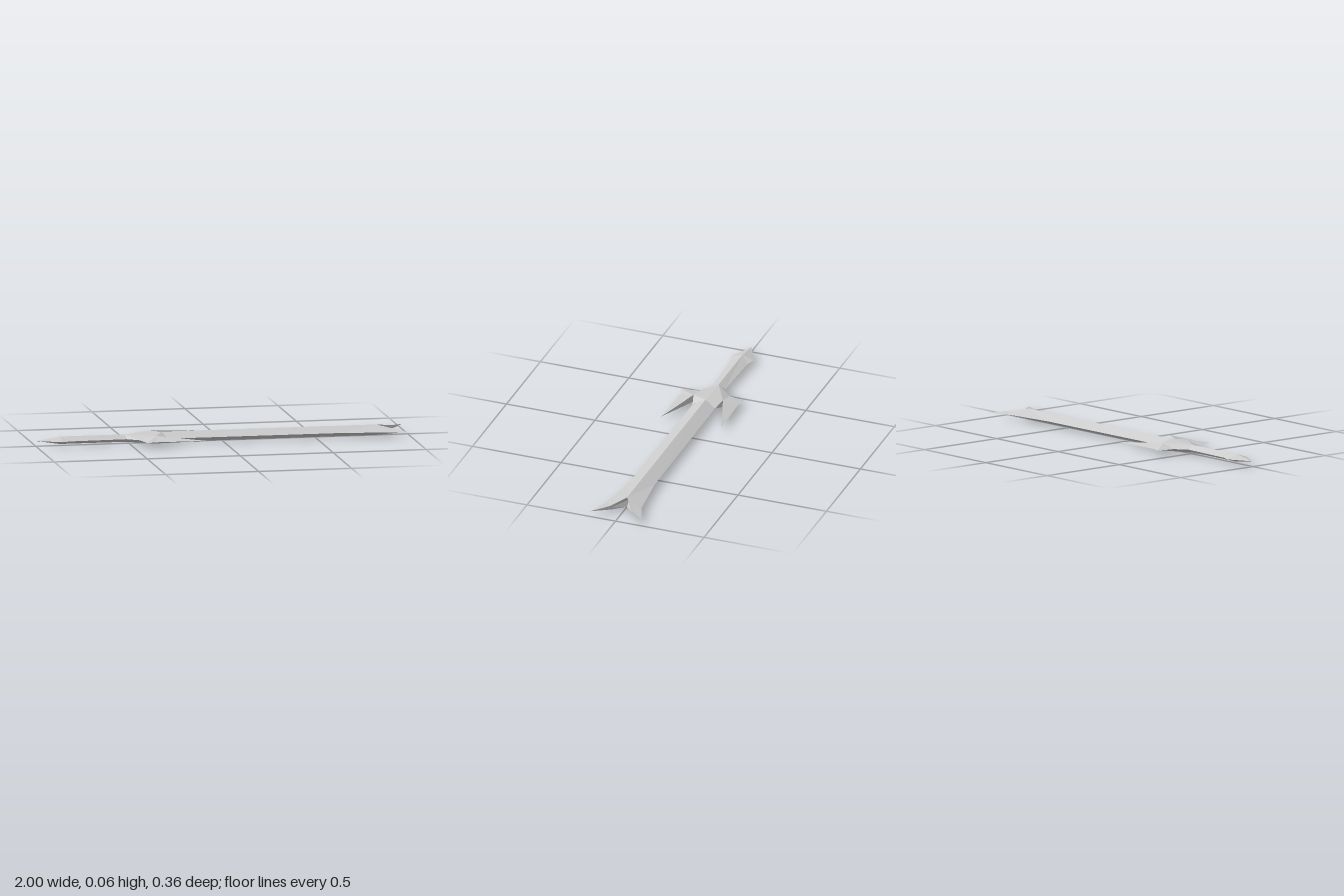
import * as THREE from 'three';

const steel = new THREE.MeshStandardMaterial({ color: 0xcccccc, flatShading: true });
steel.name = 'steel';

// Builds a faceted part from one quadrant of faces, mirrored over its
// horizontal mid plane (y = MID) and its long axis (z = 0).
const MID = 0.03;
function part(name, pts, skins, walls = []) {
  const pos = [];
  const add = (keys, axis) => {
    const v = keys.split(' ').map((k) => new THREE.Vector3(...pts[k]));
    const n = v[1].clone().sub(v[0]).cross(v[2].clone().sub(v[0]));
    if (n[axis] < 0) v.reverse();
    for (const sy of [1, -1]) {
      for (const sz of [1, -1]) {
        const m = v.map((p) => [p.x, MID + sy * (p.y - MID), sz * p.z]);
        if (sy * sz < 0) m.reverse();
        for (let i = 1; i < m.length - 1; i++) pos.push(...m[0], ...m[i], ...m[i + 1]);
      }
    }
  };
  skins.forEach((f) => add(f, 'y')); // sloping faces look up
  walls.forEach((f) => add(f, 'x')); // notch walls look toward the blade tip
  const geo = new THREE.BufferGeometry();
  geo.setAttribute('position', new THREE.Float32BufferAttribute(pos, 3));
  geo.computeVertexNormals();
  const mesh = new THREE.Mesh(geo, steel);
  mesh.name = name;
  return mesh;
}

export function createModel() {
  const group = new THREE.Group();
  group.name = 'sword';

  // Grip with a pointed, flared pommel
  group.add(part('grip', {
    tip: [-1, MID, 0], ridge: [-0.87, 0.05, 0], ridgeEnd: [-0.52, 0.05, 0],
    flare: [-0.87, MID, 0.065], neck: [-0.82, MID, 0.048], end: [-0.52, MID, 0.037],
  }, ['tip flare ridge', 'ridge flare neck', 'ridge neck end', 'ridge end ridgeEnd']));

  // Cross guard with a short spur and a long forward spike on each side
  group.add(part('guard', {
    back: [-0.52, 0.05, 0], peak: [-0.325, 0.058, 0],
    a: [-0.52, MID, 0.037], b: [-0.457, MID, 0.085],
    spur: [-0.435, MID, 0.18], dip: [-0.388, MID, 0.163], spike: [-0.115, MID, 0.17],
    wing: [-0.366, 0.05, 0.083], wingMid: [-0.366, MID, 0.083],
    front: [-0.3, MID, 0.064],
  }, [
    'back wing peak', 'back b wing', 'back a b', 'b spur wing',
    'spur dip wing', 'dip spike wing', 'peak wing front',
  ], ['wing spike wingMid', 'wing wingMid front']));

  // Ridged blade ending in a forked tip with a recessed notch
  group.add(part('blade', {
    start: [-0.325, 0.058, 0], notch: [0.83, 0.058, 0], notchMid: [0.8, MID, 0],
    heel: [-0.3, MID, 0.063], edge: [0.6, MID, 0.067], flare: [0.865, MID, 0.095],
    tip: [0.995, MID, 0.146], inner: [0.92, 0.041, 0.06], innerMid: [0.92, MID, 0.06],
  }, [
    'start heel edge', 'start edge notch', 'notch edge flare',
    'notch flare inner', 'inner flare tip',
  ], ['notch notchMid innerMid', 'notch innerMid inner', 'inner innerMid tip']));

  return group;
}
